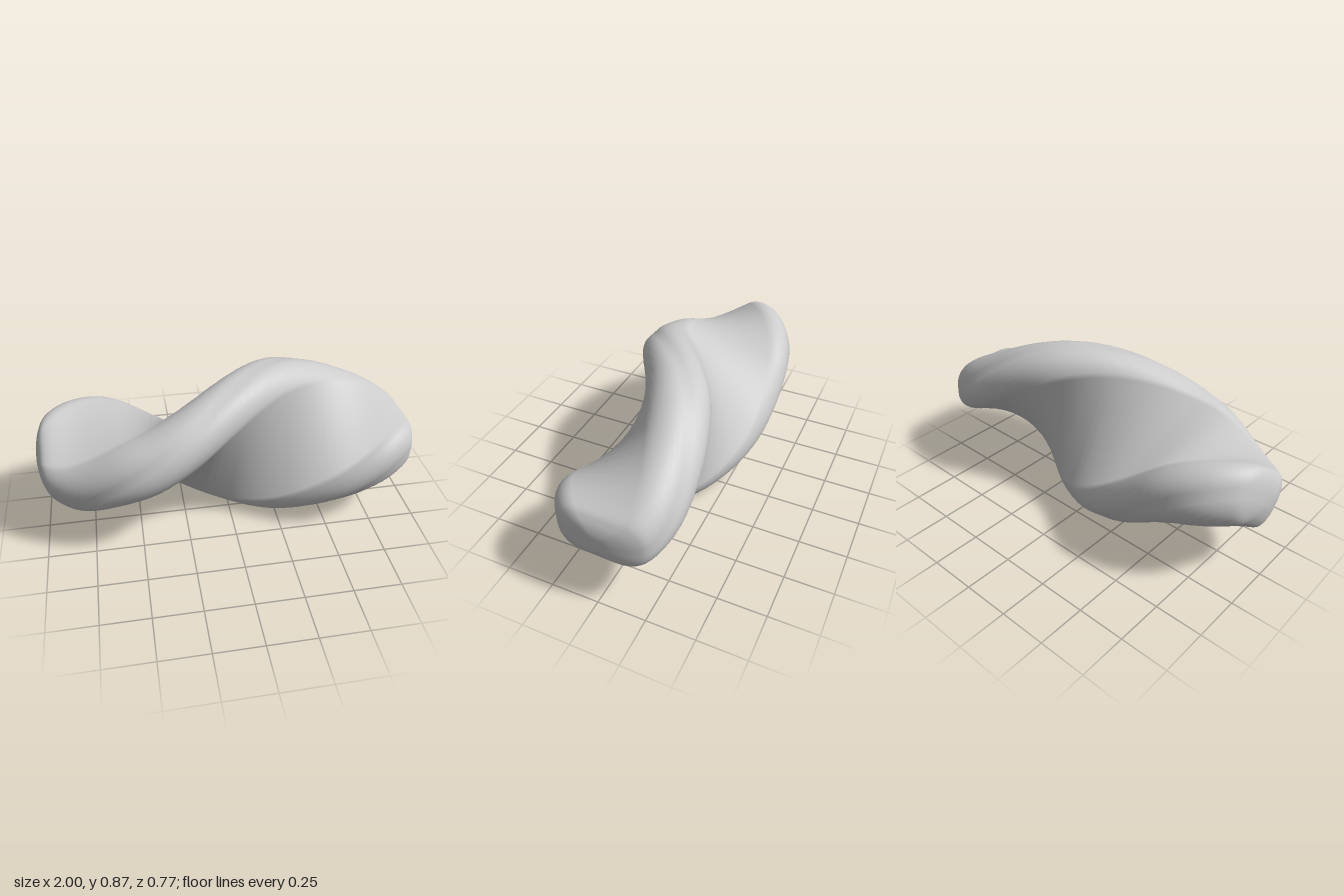
import * as THREE from 'three';

const RINGS = 72, ARC = 8;

// Stations along the length: x, half width, half thickness, centre y, centre z
const stations = [
  [-1.0, 0, 0, 0.46, -0.01], [-0.996, 0.06, 0.05, 0.46, -0.01], [-0.975, 0.145, 0.11, 0.457, -0.01],
  [-0.93, 0.22, 0.148, 0.453, -0.015], [-0.8, 0.302, 0.165, 0.448, -0.02], [-0.6, 0.364, 0.166, 0.46, -0.01],
  [-0.4, 0.398, 0.168, 0.435, 0], [-0.2, 0.422, 0.17, 0.427, -0.006], [0, 0.432, 0.172, 0.433, -0.02],
  [0.2, 0.43, 0.174, 0.438, -0.028], [0.4, 0.4, 0.17, 0.447, -0.015], [0.6, 0.364, 0.168, 0.44, -0.005],
  [0.8, 0.312, 0.162, 0.43, -0.012], [0.93, 0.243, 0.138, 0.414, -0.023], [0.975, 0.177, 0.104, 0.407, -0.025],
  [0.996, 0.08, 0.055, 0.405, -0.025], [1.0, 0, 0, 0.405, -0.025],
];

const curve = (pick) => new THREE.CatmullRomCurve3(
  stations.map((s) => new THREE.Vector3(...pick(s))), false, 'catmullrom', 0.5);

// Flat-sided section with broadly rounded edges, counter-clockwise
function section(halfWidth, halfThickness) {
  const r = Math.min(0.82 * halfThickness, halfWidth);
  const points = [];
  for (let corner = 0; corner < 4; corner++) {
    const su = corner === 0 || corner === 3 ? 1 : -1, sv = corner < 2 ? 1 : -1;
    for (let k = 0; k <= ARC; k++) {
      const a = (corner + k / ARC) * Math.PI / 2;
      points.push([su * (halfWidth - r) + r * Math.cos(a), sv * (halfThickness - r) + r * Math.sin(a)]);
    }
  }
  return points;
}

function twistedLoft() {
  const sizes = curve((s) => [s[0], s[1], s[2]]);
  const centres = curve((s) => [s[0], s[3], s[4]]);
  const sides = 4 * (ARC + 1);
  const positions = [], index = [];
  for (let i = 0; i <= RINGS; i++) {
    const s = sizes.getPoint(i / RINGS), c = centres.getPoint(i / RINGS);
    const x = THREE.MathUtils.clamp(s.x, -1, 1);
    // The section turns steadily about the long axis
    const twist = THREE.MathUtils.degToRad(114 * (x - 0.165));
    const cos = Math.cos(twist), sin = Math.sin(twist);
    section(Math.max(s.y, 0), Math.max(s.z, 0)).forEach(([u, v], j) => {
      positions.push(x, c.y + u * cos + v * sin, c.z - u * sin + v * cos);
      if (i < RINGS) {
        const p = i * sides + j, q = i * sides + ((j + 1) % sides);
        index.push(p, q, p + sides, q, q + sides, p + sides);
      }
    });
  }
  const geometry = new THREE.BufferGeometry();
  geometry.setAttribute('position', new THREE.Float32BufferAttribute(positions, 3));
  geometry.setIndex(index);
  geometry.computeVertexNormals();
  return geometry;
}

export function createModel() {
  const group = new THREE.Group();
  group.name = 'twistedPiece';
  const body = new THREE.Mesh(twistedLoft(), new THREE.MeshStandardMaterial({ color: 0xcccccc }));
  body.name = 'twistedBody';
  group.add(body);
  return group;
}
